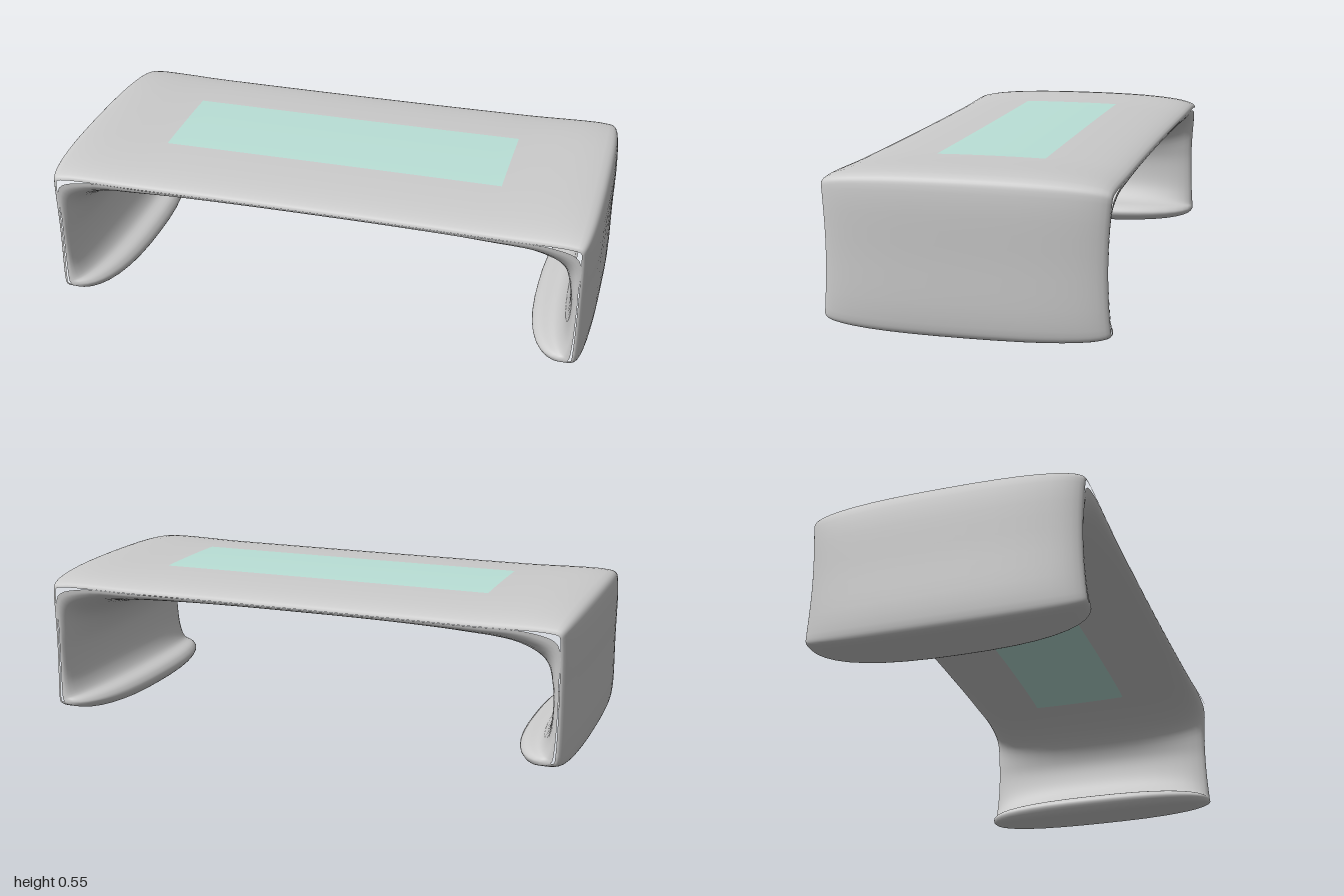
import * as THREE from 'three';

// Right-hand half of the profile, from top centre round the foot to the underside centre:
// [x, y] at mid depth, then [x, y] where it closes on the front and back rims.
const HALF = [
  [0, 0.545, 0, 0.495], [0.3, 0.545, 0.3, 0.495], [0.63, 0.545, 0.63, 0.495],
  [0.95, 0.545, 0.935, 0.495], [0.986, 0.53, 0.95, 0.488], [0.998, 0.49, 0.953, 0.465],
  [1, 0.27, 0.955, 0.27],
  [0.998, 0.055, 0.953, 0.08], [0.986, 0.016, 0.951, 0.056], [0.95, 0.004, 0.948, 0.05],
  [0.85, 0, 0.944, 0.049], [0.79, 0.008, 0.94, 0.048], [0.765, 0.042, 0.938, 0.05],
  [0.787, 0.069, 0.94, 0.052], [0.85, 0.087, 0.944, 0.06], [0.89, 0.14, 0.949, 0.11],
  [0.905, 0.21, 0.952, 0.21], [0.9, 0.28, 0.952, 0.32], [0.86, 0.35, 0.945, 0.46],
  [0.77, 0.405, 0.86, 0.492], [0.63, 0.437, 0.63, 0.494], [0.3, 0.457, 0.3, 0.494],
  [0, 0.46, 0, 0.494],
];
const STEPS = 5; // samples between profile points
const PANEL_X = 0.63;
const PANEL_U = 0.4;

// Mirror the half profile into a closed curve
function closedCurve(column) {
  const right = HALF.map((p) => new THREE.Vector3(p[column], p[column + 1], 0));
  const left = right.slice(1, -1).reverse().map((p) => new THREE.Vector3(-p.x, p.y, 0));
  return new THREE.CatmullRomCurve3([...right, ...left], true);
}

export function createModel() {
  const middle = closedCurve(0);
  const rim = closedCurve(2);
  const count = middle.points.length * STEPS;

  // Depth stations, crowded towards the rims
  const side = [0.2, PANEL_U, 0.55, 0.68, 0.79, 0.87, 0.93, 0.97, 0.99, 0.998, 1];
  const stations = [...side.map((u) => -u).reverse(), 0, ...side];

  // Sections shrink from the full profile to the rim along a rounded curve
  const position = [];
  for (const u of stations) {
    const swell = Math.pow(Math.max(0, 1 - Math.pow(Math.abs(u), 2.5)), 0.4);
    for (let i = 0; i < count; i++) {
      const r = rim.getPoint(i / count);
      const p = r.clone().lerp(middle.getPoint(i / count), swell);
      const flare = Math.pow(r.x / 0.95, 2) * Math.pow((r.y - 0.272) / 0.223, 2);
      position.push(p.x, p.y, u * (0.47 + 0.012 * flare));
    }
  }

  // Sort the faces into the shell and the coloured panel
  const shellFaces = [];
  const panelFaces = [];
  for (let j = 0; j < stations.length - 1; j++) {
    const midU = Math.abs(stations[j] + stations[j + 1]) / 2;
    for (let i = 0; i < count; i++) {
      const next = (i + 1) % count;
      const a = j * count + i, b = a + count;
      const c = j * count + next, d = c + count;
      const midX = Math.abs(position[a * 3] + position[c * 3]) / 2;
      const faces = midU < PANEL_U && midX < PANEL_X ? panelFaces : shellFaces;
      faces.push(a, b, c, c, b, d);
    }
  }

  // Smooth normals are computed over the whole surface, then shared
  const whole = new THREE.BufferGeometry();
  whole.setAttribute('position', new THREE.Float32BufferAttribute(position, 3));
  whole.setIndex([...shellFaces, ...panelFaces]);
  whole.computeVertexNormals();

  const group = new THREE.Group();
  group.name = 'curvedStand';
  const addPart = (name, faces, color) => {
    const geometry = new THREE.BufferGeometry();
    geometry.setAttribute('position', whole.getAttribute('position'));
    geometry.setAttribute('normal', whole.getAttribute('normal'));
    geometry.setIndex(faces);
    const mesh = new THREE.Mesh(geometry, new THREE.MeshStandardMaterial({ color }));
    mesh.name = name;
    group.add(mesh);
  };
  addPart('shell', shellFaces, 0xcccccc);
  addPart('topPanel', panelFaces, 0xbae0d7);
  return group;
}
